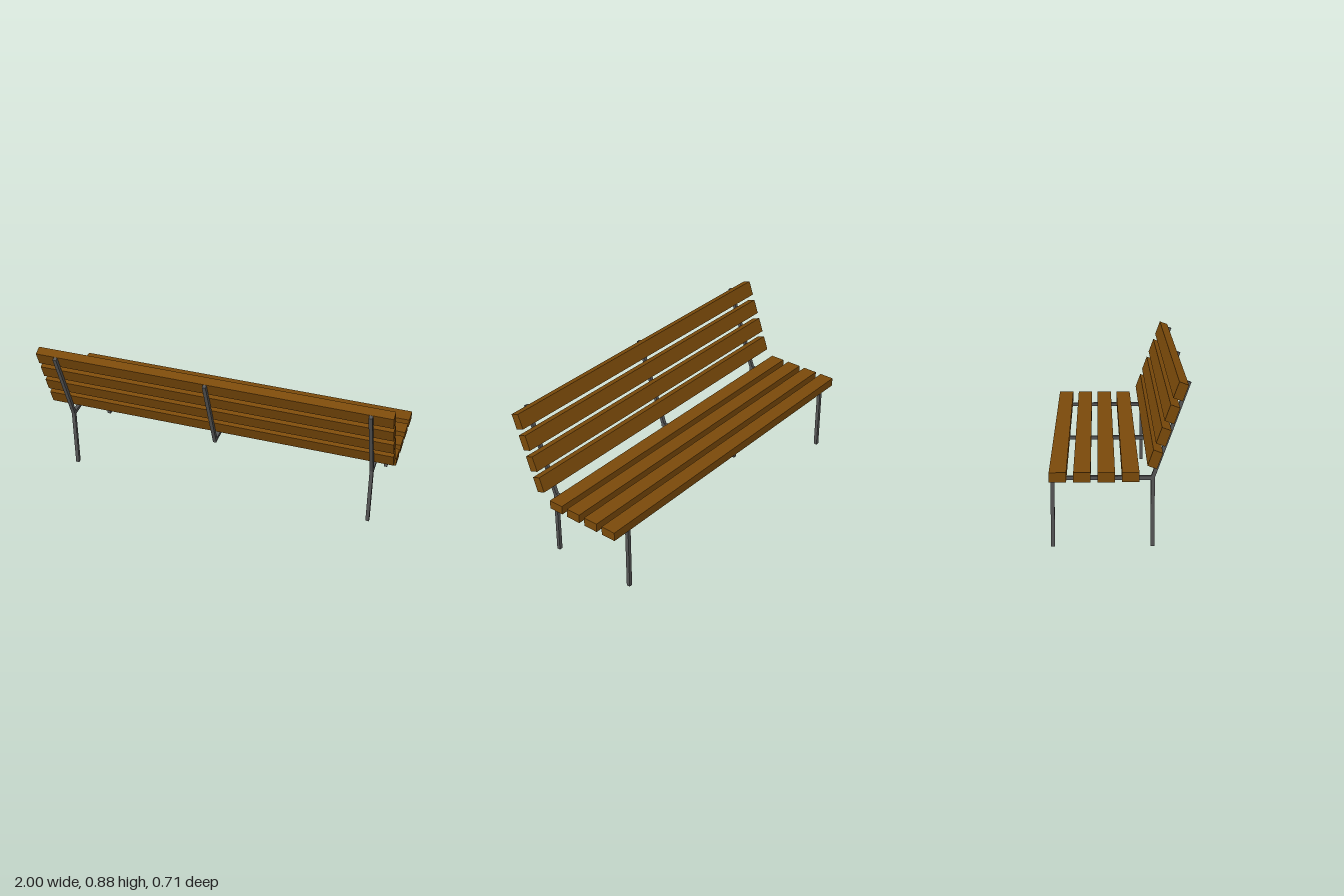
import * as THREE from 'three';

export function createModel() {
  const bench = new THREE.Group();
  bench.name = 'parkBench';
  const wood = new THREE.MeshStandardMaterial({ name: 'brownWood', color: 0x7b4a0a });
  const steel = new THREE.MeshStandardMaterial({ name: 'greySteel', color: 0x555555 });

  const TILT = THREE.MathUtils.degToRad(20); // backrest lean towards +z
  const BAR = 0.02; // square steel bar
  const SEAT_Y = 0.361, REAR_Z = 0.167, FRONT_Z = -0.34;

  function box(parent, name, material, size, position, tilt = 0) {
    const mesh = new THREE.Mesh(new THREE.BoxGeometry(...size), material);
    mesh.name = name;
    mesh.position.set(...position);
    mesh.rotation.x = tilt;
    parent.add(mesh);
    return mesh;
  }

  // Four seat slats and four leaning backrest slats
  for (let i = 0; i < 4; i++) {
    box(bench, 'seatSlat', wood, [2, 0.05, 0.086], [0, 0.394, 0.053 - i * 0.1213]);
    box(bench, 'backSlat', wood, [2, 0.086, 0.05],
      [0, 0.4845 + i * 0.114, 0.1735 + i * 0.0414], TILT);
  }

  // Steel frames: the outer two stand on legs, the middle one only braces the slats
  for (const [x, hasLegs] of [[-0.883, true], [-0.022, false], [0.881, true]]) {
    const frame = new THREE.Group();
    frame.name = hasLegs ? 'endFrame' : 'middleFrame';
    frame.position.x = x;
    bench.add(frame);

    box(frame, 'seatBar', steel, [BAR, BAR, REAR_Z - FRONT_Z + BAR],
      [0, SEAT_Y, (REAR_Z + FRONT_Z) / 2]);

    const length = 0.525;
    box(frame, 'backBar', steel, [BAR, length, BAR],
      [0, SEAT_Y + Math.cos(TILT) * length / 2, REAR_Z - 0.001 + Math.sin(TILT) * length / 2], TILT);

    if (hasLegs) {
      const height = SEAT_Y - BAR / 2;
      for (const [name, z] of [['frontLeg', FRONT_Z], ['rearLeg', REAR_Z]]) {
        box(frame, name, steel, [BAR, height, BAR], [0, height / 2, z]);
      }
    }
  }
  return bench;
}
